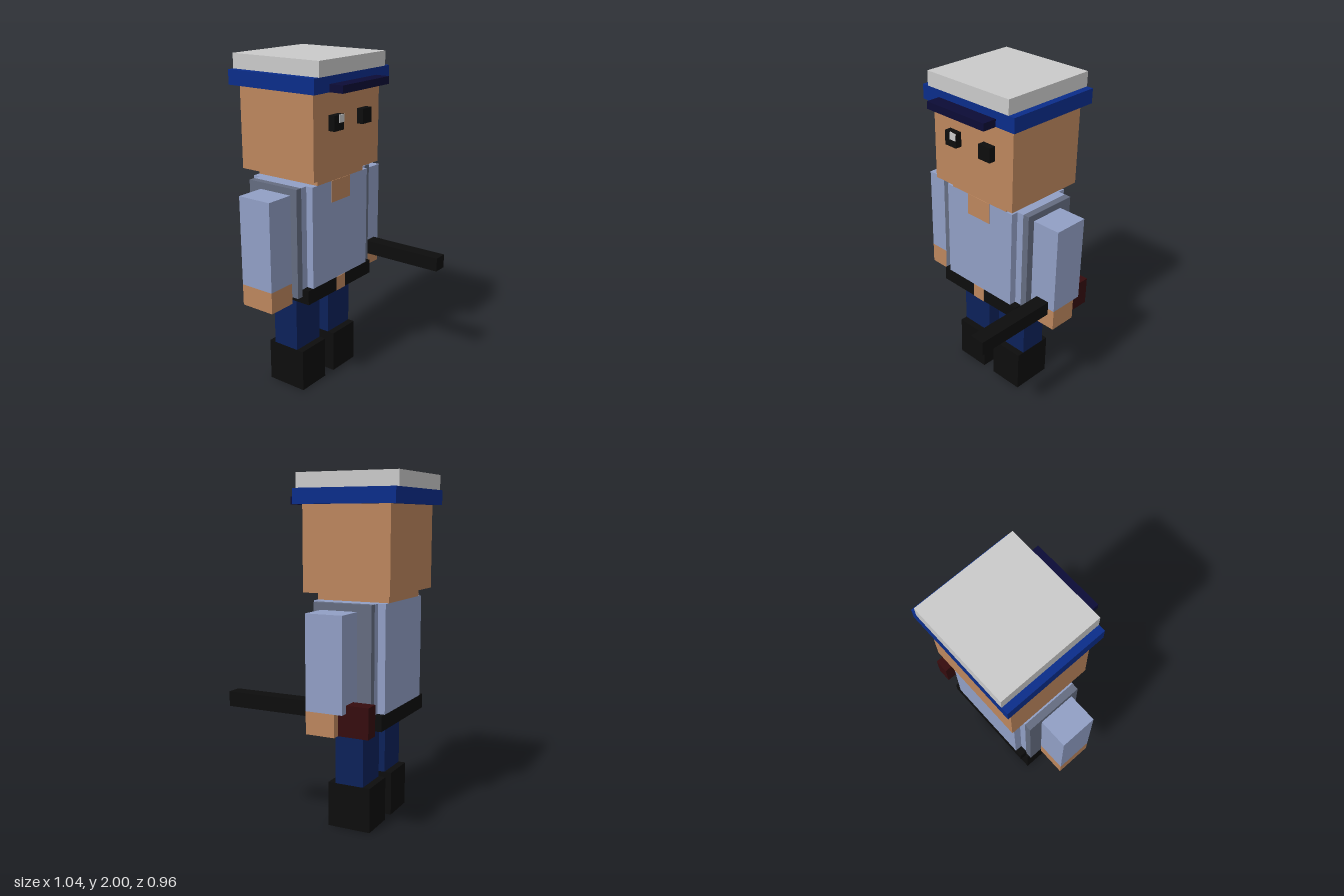
import * as THREE from 'three';

const mat = (name, color) => {
  const m = new THREE.MeshStandardMaterial({ color });
  m.name = name;
  return m;
};

export function createModel() {
  const model = new THREE.Group();
  model.name = 'blockOfficer';

  const skin = mat('skin', 0xbc865d);
  const shirt = mat('shirtBlue', 0x919fc5);
  const grey = mat('sideGrey', 0x646c80);
  const black = mat('black', 0x0d0d0d);
  const trousers = mat('trouserNavy', 0x0c2159);
  const band = mat('capBlue', 0x0b2d8a);
  const pale = mat('capGrey', 0xcacaca);
  const peak = mat('peakNavy', 0x0c0c36);
  const grip = mat('gripMaroon', 0x350c0e);

  // Box given by its extents on each axis
  const box = (name, material, [x0, x1], [y0, y1], [z0, z1]) => {
    const mesh = new THREE.Mesh(new THREE.BoxGeometry(x1 - x0, y1 - y0, z1 - z0), material);
    mesh.position.set((x0 + x1) / 2, (y0 + y1) / 2, (z0 + z1) / 2);
    mesh.name = name;
    model.add(mesh);
  };
  const both = (w) => [-w, w];
  const mirror = (side, a, b) => (side > 0 ? [a, b] : [-b, -a]);

  // Cap
  box('capTop', pale, both(0.305), [1.915, 2], [-0.478, 0.13]);
  box('capBand', band, both(0.346), [1.83, 1.915], [-0.478, 0.13]);
  box('capPeak', peak, both(0.216), [1.83, 1.873], [0.13, 0.216]);

  // Head and neck
  box('head', skin, both(0.305), [1.35, 1.83], [-0.433, 0.09]);
  box('neck', skin, both(0.216), [1.305, 1.35], [-0.39, 0.044]);
  box('eyeGlint', pale, [-0.133, -0.088], [1.655, 1.698], [0.127, 0.134]);

  // Torso stepped in plan, with grey sides
  box('chest', shirt, both(0.261), [0.7, 1.305], [-0.39, 0.044]);
  for (const s of [-1, 1]) {
    box('chestSide', shirt, mirror(s, 0.261, 0.305), [0.7, 1.305], [-0.346, 0]);
    box('sidePanel', grey, mirror(s, 0.305, 0.346), [0.655, 1.305], [-0.346, 0]);
  }
  box('openCollar', skin, both(0.087), [1.177, 1.305], [0.04, 0.047]);
  box('belt', black, both(0.305), [0.613, 0.7], [-0.39, 0.044]);
  box('buckle', skin, both(0.043), [0.613, 0.7], [0.04, 0.047]);

  // Eyes, arms, legs and boots
  for (const s of [-1, 1]) {
    box('eye', black, mirror(s, 0.088, 0.174), [1.612, 1.698], [0.09, 0.131]);
    box('sleeve', shirt, mirror(s, 0.346, 0.521), [0.74, 1.265], [-0.262, -0.044]);
    box('hand', skin, mirror(s, 0.346, 0.521), [0.613, 0.74], [s > 0 ? -0.215 : -0.262, -0.044]);
    box('leg', trousers, mirror(s, 0.043, 0.261), [0.262, 0.613], [-0.26, -0.087]);
    box('boot', black, mirror(s, 0.043, 0.261), [0, 0.262], [-0.303, -0.043]);
  }

  // Held weapon: barrel in front of the hand, stock behind
  box('barrel', black, [0.39, 0.477], [0.7, 0.785], [-0.044, 0.478]);
  box('stock', grip, [0.39, 0.477], [0.613, 0.785], [-0.392, -0.215]);

  return model;
}
